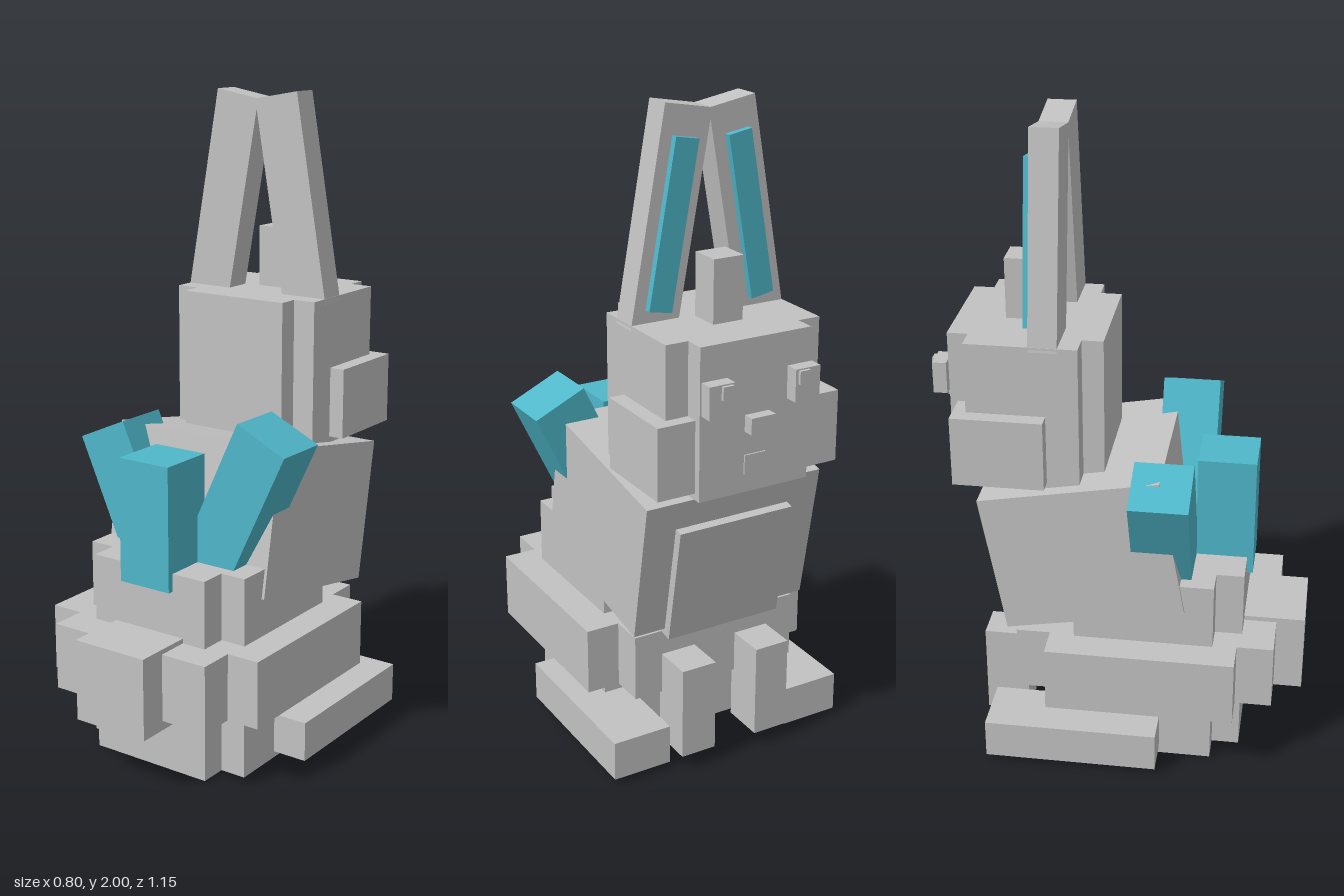
import * as THREE from 'three';

const stone = new THREE.MeshStandardMaterial({ color: 0xc2c2c2, flatShading: true });
stone.name = 'light grey';
const teal = new THREE.MeshStandardMaterial({ color: 0x4fb7ca, flatShading: true });
teal.name = 'teal';

// Box from its size and centre, with an optional tilt
function box(name, size, centre, material = stone, tilt = [0, 0, 0]) {
  const mesh = new THREE.Mesh(new THREE.BoxGeometry(...size), material);
  mesh.name = name;
  mesh.position.set(...centre);
  mesh.rotation.set(...tilt);
  return mesh;
}

// Box from its minimum and maximum corners
function span(name, [x0, x1], [y0, y1], [z0, z1], material = stone) {
  return box(name, [x1 - x0, y1 - y0, z1 - z0],
    [(x0 + x1) / 2, (y0 + y1) / 2, (z0 + z1) / 2], material);
}

function group(name, ...parts) {
  const g = new THREE.Group();
  g.name = name;
  g.add(...parts);
  return g;
}

const deg = THREE.MathUtils.degToRad;

export function createModel() {
  // Haunches: crossed boxes with a wide band, and the stubby tail behind
  const haunches = group('haunches',
    span('haunchLong', [-0.205, 0.205], [0, 0.635], [-0.217, 0.384]),
    span('haunchWide', [-0.288, 0.288], [0, 0.635], [-0.135, 0.298]),
    span('bandLong', [-0.28, 0.28], [0.215, 0.425], [-0.318, 0.486]),
    span('bandWide', [-0.385, 0.385], [0.215, 0.425], [-0.212, 0.372]),
    span('tail', [-0.126, 0.126], [0.185, 0.44], [0.37, 0.575]));

  // Leaning torso with its chest plate
  const torso = group('torso',
    box('chest', [0.594, 0.451, 0.561], [0, 0, 0]),
    box('chestPlate', [0.385, 0.381, 0.055], [0, -0.056, -0.281]));
  torso.position.set(0, 0.7175, -0.1065);
  torso.rotation.x = deg(-10.2);

  // Head: crossed boxes, cheeks, tuft and face
  const head = group('head',
    span('headLong', [-0.182, 0.182], [0.925, 1.385], [-0.515, -0.05]),
    span('headWide', [-0.254, 0.254], [0.925, 1.385], [-0.452, -0.115]),
    span('cheeks', [-0.302, 0.302], [0.945, 1.165], [-0.492, -0.214]),
    span('tuft', [-0.049, 0.049], [1.38, 1.575], [-0.366, -0.268]),
    span('nose', [-0.04, 0.04], [1.115, 1.165], [-0.559, -0.524]),
    span('mouth', [-0.035, 0.035], [0.98, 1.04], [-0.52, -0.513]));

  const legs = group('legs', ...[-1, 1].flatMap((s) => [
    box('foot', [0.19, 0.125, 0.54], [s * 0.305, 0.0825, -0.135]),
    box('frontLeg', [0.115, 0.295, 0.137], [s * 0.13, 0.198, -0.3735]),
  ]));

  // Eyes and ears, mirrored; the ears lean together at the tips
  for (const s of [-1, 1]) {
    head.add(
      box('eye', [0.082, 0.098, 0.042], [s * 0.141, 1.237, -0.544]),
      box('pupil', [0.035, 0.04, 0.01], [s * 0.126, 1.262, -0.57]),
      box('ear', [0.152, 0.64, 0.086], [s * 0.125, 1.672, -0.218], stone, [0, 0, s * deg(10)]),
      box('innerEar', [0.075, 0.493, 0.024], [s * 0.128, 1.66, -0.271], teal, [0, 0, s * deg(10)]));
  }

  // Teal plumes on the back; the outer two hang from their top centre and lean outward
  const plume = (name, x, y, z, length, lean) => {
    const a = deg(lean);
    return box(name, [0.18, length, 0.18],
      [x + Math.sin(a) * length / 2, y - Math.cos(a) * length / 2, z], teal, [0, 0, a]);
  };
  const plumes = group('backPlumes',
    plume('middlePlume', 0, 0.965, 0.313, 0.385, 0),
    plume('leftPlume', 0.314, 1.047, 0.17, 0.53, -25),
    plume('rightPlume', -0.3, 0.98, 0.135, 0.46, 24));

  return group('sittingCreature', haunches, torso, head, legs, plumes);
}
